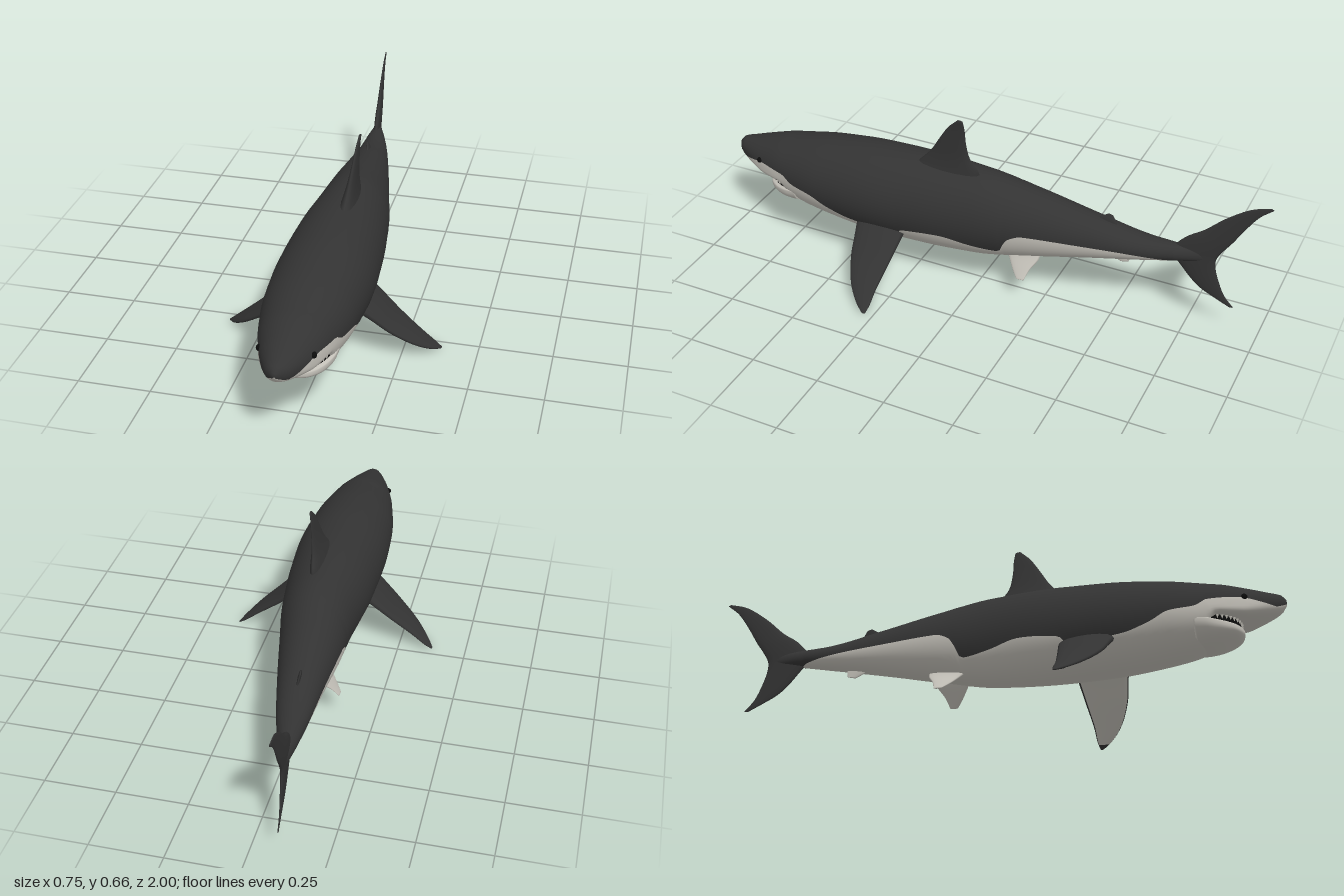
import * as THREE from 'three';

const mat = (name, color) => Object.assign(new THREE.MeshStandardMaterial({ color }), { name });
const V = (x, y, z) => new THREE.Vector3(x, y, z);

// Smooth monotone interpolation of table rows [z, ...values], z falling
function sample(rows, z) {
  let i = 0;
  while (i < rows.length - 2 && z < rows[i + 1][0]) i++;
  const slope = (k, c) => (rows[k + 1][c] - rows[k][c]) / (rows[k + 1][0] - rows[k][0]);
  const tangent = (k, c) => {
    if (k === 0) return slope(0, c);
    if (k === rows.length - 1) return slope(k - 1, c);
    const a = slope(k - 1, c), b = slope(k, c);
    return a * b <= 0 ? 0 : 2 * a * b / (a + b);
  };
  const h = rows[i + 1][0] - rows[i][0];
  const t = THREE.MathUtils.clamp((z - rows[i][0]) / h, 0, 1), t2 = t * t, t3 = t2 * t;
  return rows[i].map((v, c) => c === 0 ? z :
    (2 * t3 - 3 * t2 + 1) * v + (t3 - 2 * t2 + t) * h * tangent(i, c) +
    (3 * t2 - 2 * t3) * rows[i + 1][c] + (t3 - t2) * h * tangent(i + 1, c));
}

// Skin closed rings of points, capped at both ends; pick(i, j) gives the material index
function loft(name, rings, materials, pick = () => 0) {
  const n = rings[0].length, last = rings.length - 1, pts = rings.flat();
  const faces = materials.map(() => []);
  const centre = r => r.reduce((s, p) => s.add(p), V(0, 0, 0)).divideScalar(n);
  const c0 = pts.push(centre(rings[0])) - 1, c1 = pts.push(centre(rings[last])) - 1;
  for (let j = 0; j < n; j++) {
    const k = (j + 1) % n;
    for (let i = 0; i < last; i++) {
      const a = i * n + j, b = i * n + k;
      faces[pick(i, j)].push([a, a + n, b], [b, a + n, b + n]);
    }
    faces[pick(0, j)].push([c0, j, k]);
    faces[pick(last - 1, j)].push([c1, last * n + k, last * n + j]);
  }
  // Turn the faces outward
  let volume = 0;
  for (const [a, b, c] of faces.flat()) volume += pts[a].dot(pts[b].clone().cross(pts[c]));
  if (volume < 0) faces.flat().forEach(f => f.reverse());
  const geo = new THREE.BufferGeometry().setFromPoints(pts);
  geo.setIndex(faces.flat(2));
  let start = 0;
  faces.forEach((f, m) => { geo.addGroup(start, f.length * 3, m); start += f.length * 3; });
  geo.computeVertexNormals();
  const mesh = new THREE.Mesh(geo, materials.length > 1 ? materials : materials[0]);
  mesh.name = name;
  return mesh;
}

// Rounded cross-section; the first nUp points lie above the colour edge angle a0
function ring([z, cx, w, top, bottom, mid, pLow], pUp = 1, a0 = 0, nUp = 24, nLow = 24) {
  const pts = [];
  for (let j = 0; j < nUp + nLow; j++) {
    const a = j < nUp ? a0 + (Math.PI - 2 * a0) * j / nUp
      : Math.PI - a0 + (Math.PI + 2 * a0) * (j - nUp) / nLow;
    const s = Math.sin(a), c = Math.cos(a), p = s >= 0 ? pUp : pLow;
    const y = Math.pow(Math.abs(s), p) * (s >= 0 ? top - mid : bottom - mid);
    pts.push(V(cx + w * Math.sign(c) * Math.pow(Math.abs(c), p), mid + y, z));
  }
  return pts;
}

const steps = (a, b, n) => Array.from({ length: n + 1 }, (_, i) => a + (b - a) * i / n);

// Lens-section fin between a leading and a trailing edge
function fin(name, lead, trail, thick, normal, materials, pick, n = 20) {
  const L = new THREE.CatmullRomCurve3(lead), T = new THREE.CatmullRomCurve3(trail);
  const rings = steps(0, 1, n).map(t => {
    const a = L.getPoint(t), b = T.getPoint(t);
    return Array.from({ length: 16 }, (_, j) => {
      const q = j / 16 * Math.PI * 2;
      const u = Math.pow((1 - Math.cos(q)) / 2, 1.2);
      return a.clone().lerp(b, u).addScaledVector(normal, Math.sin(q) * thick(t) / 2);
    });
  });
  return loft(name, rings, materials, pick);
}

export function createModel() {
  const g = new THREE.Group();
  g.name = 'shark';
  const dark = mat('dark grey skin', 0x333333), pale = mat('pale belly skin', 0xc2bfb7);
  const black = mat('black', 0x0c0c0c), ivory = mat('tooth ivory', 0xdad7cd);

  // Body: z, centre x, half width, top, bottom, widest height, lower roundness
  const body = [
    [1, 0, .008, .328, .308, .318, 1],
    [.985, 0, .03, .345, .288, .315, .9],
    [.95, 0, .052, .355, .272, .31, .75],
    [.9, 0, .076, .37, .261, .305, .55],
    [.86, 0, .092, .382, .256, .3, .45],
    [.78, 0, .117, .403, .257, .3, .4],
    [.765, 0, .12, .405, .25, .3, .45],
    [.74, 0, .127, .41, .18, .295, .9],
    [.6, 0, .153, .435, .145, .29, 1],
    [.4, 0, .165, .455, .125, .29, 1],
    [.2, -.004, .156, .46, .12, .29, 1],
    [0, -.007, .134, .452, .128, .29, 1],
    [-.2, -.024, .109, .412, .16, .286, 1],
    [-.4, -.04, .08, .365, .2, .283, 1],
    [-.6, -.06, .05, .32, .235, .278, 1],
    [-.7, -.073, .031, .312, .25, .28, 1],
    [-.78, -.083, .012, .305, .26, .28, 1],
    [-.82, -.086, .004, .29, .265, .278, 1],
  ];
  // Height of the wavy edge between back and belly
  const edge = [[1, .31], [.97, .292], [.93, .3], [.85, .315], [.75, .308], [.71, .285], [.62, .27],
    [.56, .24], [.46, .21], [.28, .195], [.25, .222], [.11, .235], [0, .213], [-.1, .2],
    [-.135, .265], [-.19, .288], [-.4, .281], [-.55, .272], [-.68, .255], [-.73, .24], [-.82, .2]];
  const rings = steps(1, -.82, 120).map(z => {
    const r = sample(body, z), [, , , top, bottom, mid, p] = r;
    const d = sample(edge, z)[1] - mid;
    const s = d >= 0 ? d / (top - mid) : -Math.pow(Math.min(1, -d / (mid - bottom)), 1 / p);
    return ring(r, 1, Math.asin(THREE.MathUtils.clamp(s, -.97, .97)));
  });
  g.add(loft('body', rings, [dark, pale], (i, j) => j < 24 ? 0 : 1));

  // Lower jaw and mouth interior
  const jaw = [
    [.855, 0, .015, .23, .217, .224, .8],
    [.845, 0, .05, .234, .206, .222, .8],
    [.82, 0, .082, .238, .195, .224, .8],
    [.78, 0, .108, .243, .183, .23, .85],
    [.74, 0, .122, .248, .175, .24, .9],
    [.7, 0, .125, .25, .17, .245, 1],
  ];
  g.add(loft('lowerJaw', steps(.855, .7, 24).map(z => ring(sample(jaw, z), .5)), [pale]));
  g.add(loft('mouth', steps(.855, .7, 16).map(z => {
    const [, , w] = sample(jaw, z);
    return ring([z - .012, 0, w * .94, .268, .226, .246, .4], .4);
  }), [black]));

  // Teeth around the upper jaw
  const teeth = new THREE.Group();
  teeth.name = 'teeth';
  for (let i = 0; i < 17; i++) {
    const a = (i / 16 - .5) * 2.5;
    const tooth = new THREE.Mesh(new THREE.ConeGeometry(.005, .014, 5), ivory);
    tooth.name = 'tooth';
    tooth.position.set(Math.sin(a) * .106, .25, .745 + Math.cos(a) * .103);
    tooth.rotation.x = Math.PI;
    teeth.add(tooth);
  }
  g.add(teeth);

  // Dorsal fins
  g.add(fin('dorsalFin',
    [V(.02, .42, .27), V(.022, .465, .225), V(.025, .51, .185), V(.03, .57, .148), V(.034, .625, .112), V(.038, .662, .075)],
    [V(.015, .42, 0), V(.018, .462, .005), V(.024, .51, .035), V(.03, .57, .047), V(.034, .625, .05), V(.038, .66, .055)],
    t => .06 * Math.pow(1 - t, 2) + .008, V(1, 0, -.12).normalize(), [dark]));
  g.add(fin('rearDorsalFin',
    [V(-.045, .34, -.39), V(-.049, .362, -.425), V(-.054, .377, -.45)],
    [V(-.05, .33, -.49), V(-.052, .352, -.482), V(-.056, .372, -.468)],
    t => .016 - .011 * t, V(1, 0, 0), [dark]));

  // Tail fin, from lower tip to upper tip
  const tail = (z, y) => V(-.076 + (z + .7) * .085, y, z);
  g.add(fin('tailFin',
    [[-.893, .093], [-.84, .12], [-.78, .155], [-.72, .22], [-.68, .285], [-.72, .345],
      [-.78, .388], [-.85, .452], [-.93, .506], [-.99, .523]].map(p => tail(...p)),
    [[-.907, .095], [-.873, .135], [-.852, .18], [-.832, .245], [-.832, .28], [-.85, .315],
      [-.88, .36], [-.915, .42], [-.958, .482], [-1, .518]].map(p => tail(...p)),
    t => .004 + .02 * Math.pow(Math.sin(Math.PI * t), 2), V(1, 0, -.085).normalize(), [dark], () => 0, 40));

  // Anal fin
  g.add(fin('analFin',
    [V(-.05, .235, -.45), V(-.052, .21, -.475), V(-.054, .194, -.505)],
    [V(-.055, .24, -.53), V(-.056, .222, -.538), V(-.057, .2, -.535)],
    t => .014 - .009 * t, V(1, 0, 0), [pale]));

  for (const s of [1, -1]) {
    const side = s > 0 ? 'left' : 'right';
    // Pectoral fins, pale beneath with a dark tip
    g.add(fin(side + 'PectoralFin',
      [V(.12 * s, .21, .44), V(.17 * s, .168, .427), V(.225 * s, .12, .413), V(.3 * s, .06, .375), V(.35 * s, .02, .328), V(.375 * s, .002, .292)],
      [V(.12 * s, .21, .245), V(.17 * s, .168, .253), V(.225 * s, .12, .262), V(.3 * s, .06, .273), V(.35 * s, .02, .275), V(.375 * s, .002, .28)],
      t => .042 * (1 - t) + .005, V(.67 * s, .74, 0), [dark, pale],
      (i, j) => j < 8 || i > 16 || j < 9 || j > 14 ? 0 : 1));
    // Pelvic fins
    const px = d => -.028 + d * s;
    g.add(fin(side + 'PelvicFin',
      [V(px(.03), .175, -.09), V(px(.05), .145, -.115), V(px(.075), .115, -.14), V(px(.097), .091, -.165)],
      [V(px(.03), .185, -.23), V(px(.045), .16, -.228), V(px(.072), .125, -.205), V(px(.097), .092, -.193)],
      t => .02 - .015 * t, V(.7 * s, .7, 0), [pale]));
    // Eyes
    const eye = new THREE.Mesh(new THREE.SphereGeometry(.011, 16, 12), black);
    eye.name = side + 'Eye';
    eye.position.set(.084 * s, .318, .868);
    g.add(eye);
  }
  return g;
}
